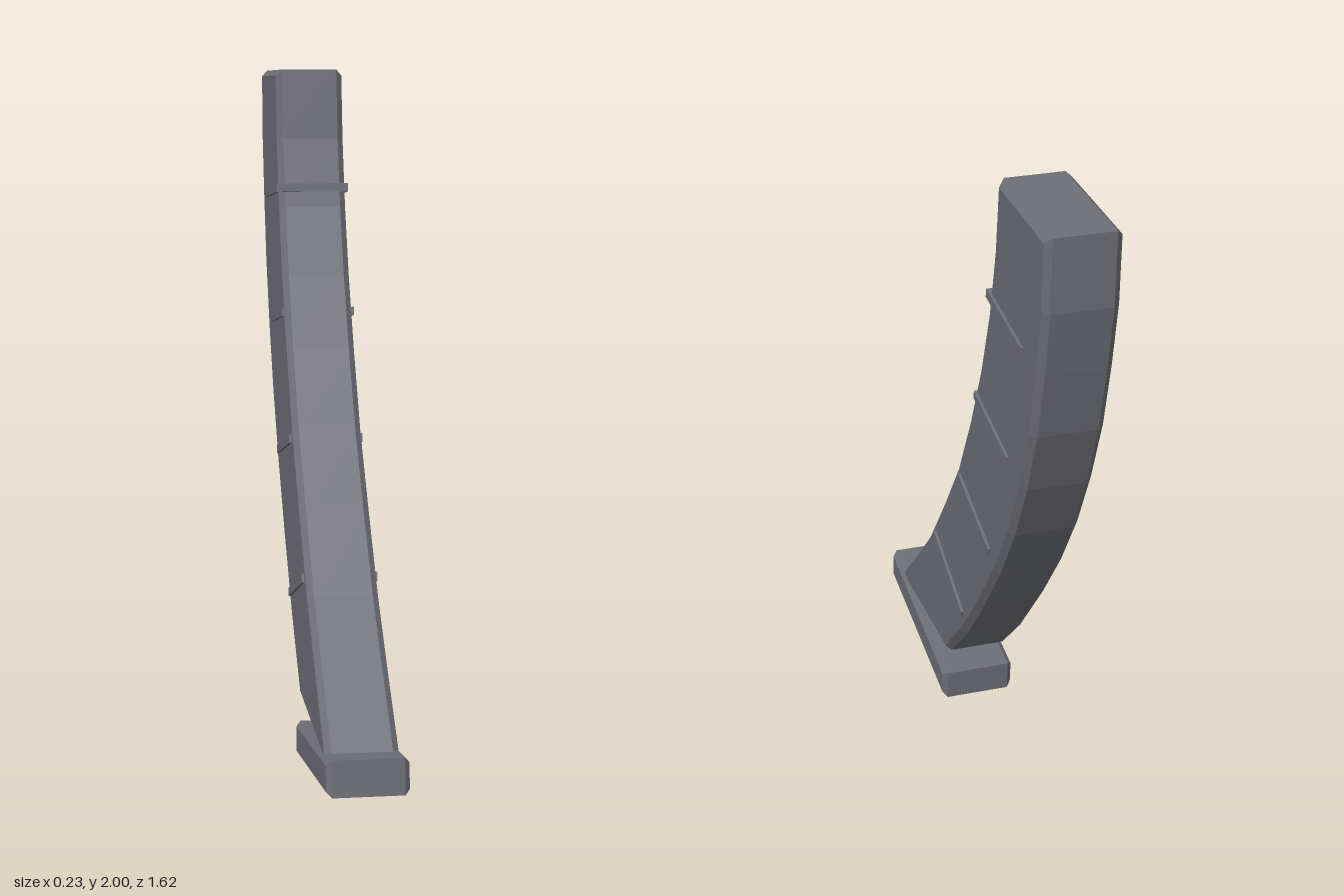
import * as THREE from 'three';

// Chamfered slab: a [z, y] outline extruded across x, centred on x = 0
function slab(outline, halfWidth, bevel) {
  const shape = new THREE.Shape(outline.map(([z, y]) => new THREE.Vector2(z, y)));
  const geometry = new THREE.ExtrudeGeometry(shape, {
    depth: 2 * (halfWidth - bevel),
    bevelEnabled: true,
    bevelThickness: bevel,
    bevelSize: bevel,
    bevelOffset: -bevel,
    bevelSegments: 1,
  });
  geometry.translate(0, 0, -(halfWidth - bevel));
  geometry.rotateY(-Math.PI / 2);
  return geometry;
}

export function createModel() {
  const model = new THREE.Group();
  model.name = 'curvedCase';
  const gray = new THREE.MeshStandardMaterial({ color: 0x6e6f76, flatShading: true });
  gray.name = 'dark gray';

  const add = (name, geometry) => {
    const mesh = new THREE.Mesh(geometry, gray);
    mesh.name = name;
    model.add(mesh);
    return mesh;
  };

  // Curved body: front edge downwards, then back edge upwards
  const front = [
    [-0.4, 2], [-0.37, 1.79], [-0.315, 1.585], [-0.235, 1.38], [-0.13, 1.17],
    [0, 0.945], [0.165, 0.73], [0.34, 0.515], [0.52, 0.335], [0.715, 0.15],
  ];
  const back = [
    [0.155, 0.18], [-0.035, 0.365], [-0.22, 0.58], [-0.38, 0.785], [-0.515, 0.99],
    [-0.62, 1.19], [-0.705, 1.395], [-0.76, 1.6], [-0.8, 1.79], [-0.81, 2],
  ];
  add('body', slab([...front, [0.71, 0.13], ...back].reverse(), 0.102, 0.018));

  // Tilted base plate
  const plate = add('basePlate', slab(
    [[-0.33, -0.05], [0.33, -0.05], [0.33, 0.05], [-0.33, 0.05]], 0.113, 0.014));
  plate.position.set(0, 0.089, 0.476);
  plate.rotation.x = -0.115;

  // Ribs on both sides: [front z, front y, drop towards the back]
  // The top one also runs across the front edge.
  const ribs = [
    [-0.322, 1.643, 0.03],
    [-0.2, 1.275, 0.05],
    [-0.025, 0.915, 0.08],
    [0.26, 0.555, 0.11],
  ];
  const run = 0.31;
  ribs.forEach(([z, y, drop], i) => {
    const rib = add(`rib${i + 1}`, new THREE.BoxGeometry(0.22, 0.025, Math.hypot(run, drop)));
    rib.position.set(0, y - drop / 2, z - run / 2);
    rib.rotation.x = -Math.atan2(drop, run);
  });

  return model;
}
